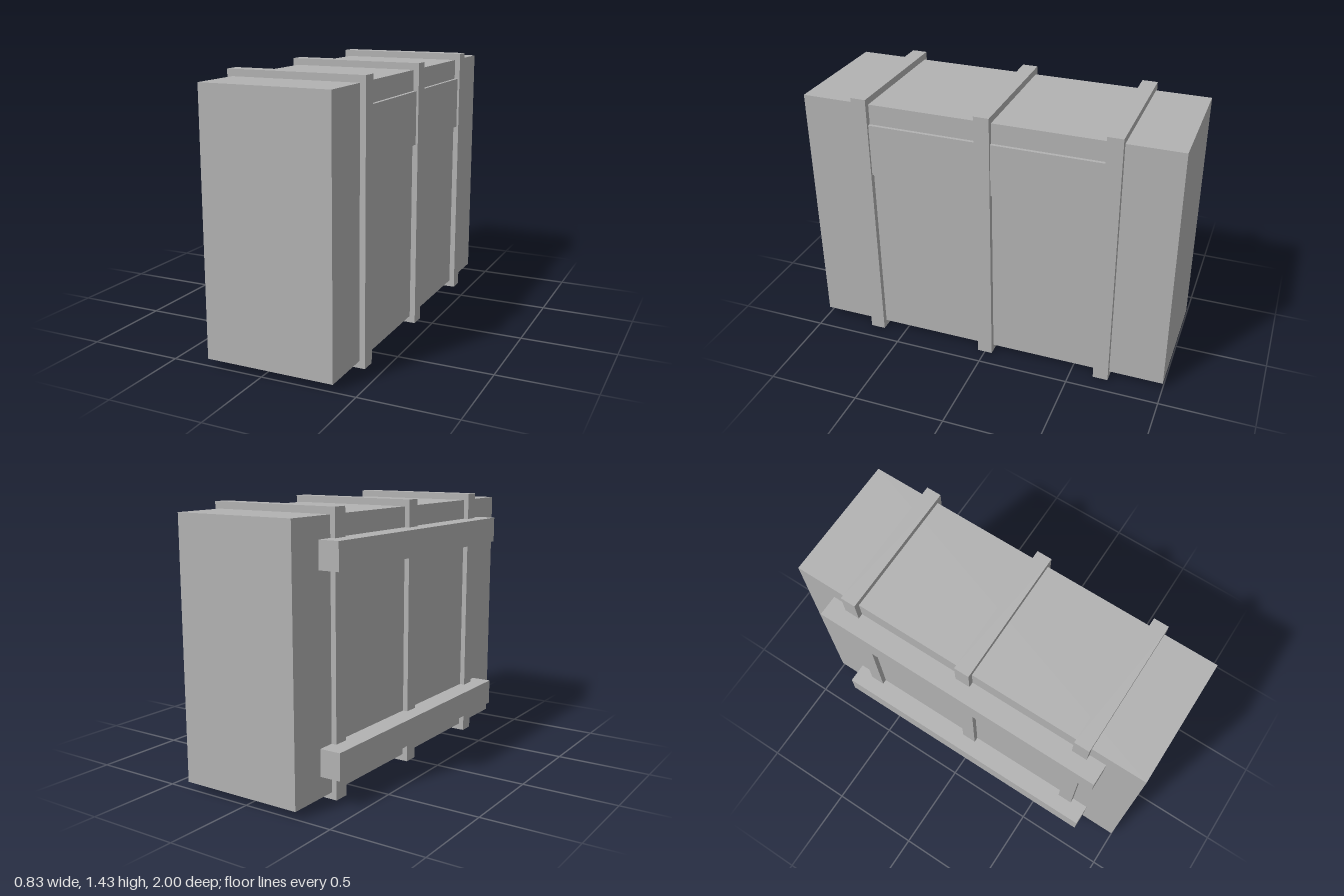
import * as THREE from 'three';

export function createModel() {
  const group = new THREE.Group();
  const grey = new THREE.MeshStandardMaterial({ color: 0xb2b2b2 });
  grey.name = 'grey';

  // Box given by its lower and upper limits on each axis
  function box(name, [x0, x1], [y0, y1], [z0, z1]) {
    const mesh = new THREE.Mesh(new THREE.BoxGeometry(x1 - x0, y1 - y0, z1 - z0), grey);
    mesh.position.set((x0 + x1) / 2, (y0 + y1) / 2, (z0 + z1) / 2);
    mesh.name = name;
    group.add(mesh);
  }

  const rectangle = (path, x0, x1, y0, y1) =>
    path.moveTo(x0, y0).lineTo(x1, y0).lineTo(x1, y1).lineTo(x0, y1).closePath();

  // Main crate
  box('crateBody', [-0.302, 0.382], [0.037, 1.396], [-1, 1]);

  // Three square bands wrapped around the crate
  const bandWidth = 0.082;
  const outline = rectangle(new THREE.Shape(), -0.33, 0.412, 0, 1.432);
  outline.holes.push(rectangle(new THREE.Path(), -0.302, 0.382, 0.037, 1.396));
  const bandGeometry = new THREE.ExtrudeGeometry(outline, { depth: bandWidth, bevelEnabled: false });
  bandGeometry.translate(0, 0, -bandWidth / 2);
  for (const z of [-0.667, 0, 0.667]) {
    const band = new THREE.Mesh(bandGeometry, grey);
    band.position.z = z;
    band.name = 'band';
    group.add(band);
  }

  // Two long runners across the bands
  for (const y of [0.146, 1.146]) {
    box('runner', [-0.415, -0.302], [y, y + 0.141], [-0.8, 0.8]);
  }

  // Panels between the bands on the other side
  for (const side of [-1, 1]) {
    const z = [0.04 * side, 0.627 * side].sort((a, b) => a - b);
    box('sidePanel', [0.382, 0.4], [1.003, 1.287], z);
  }

  return group;
}
